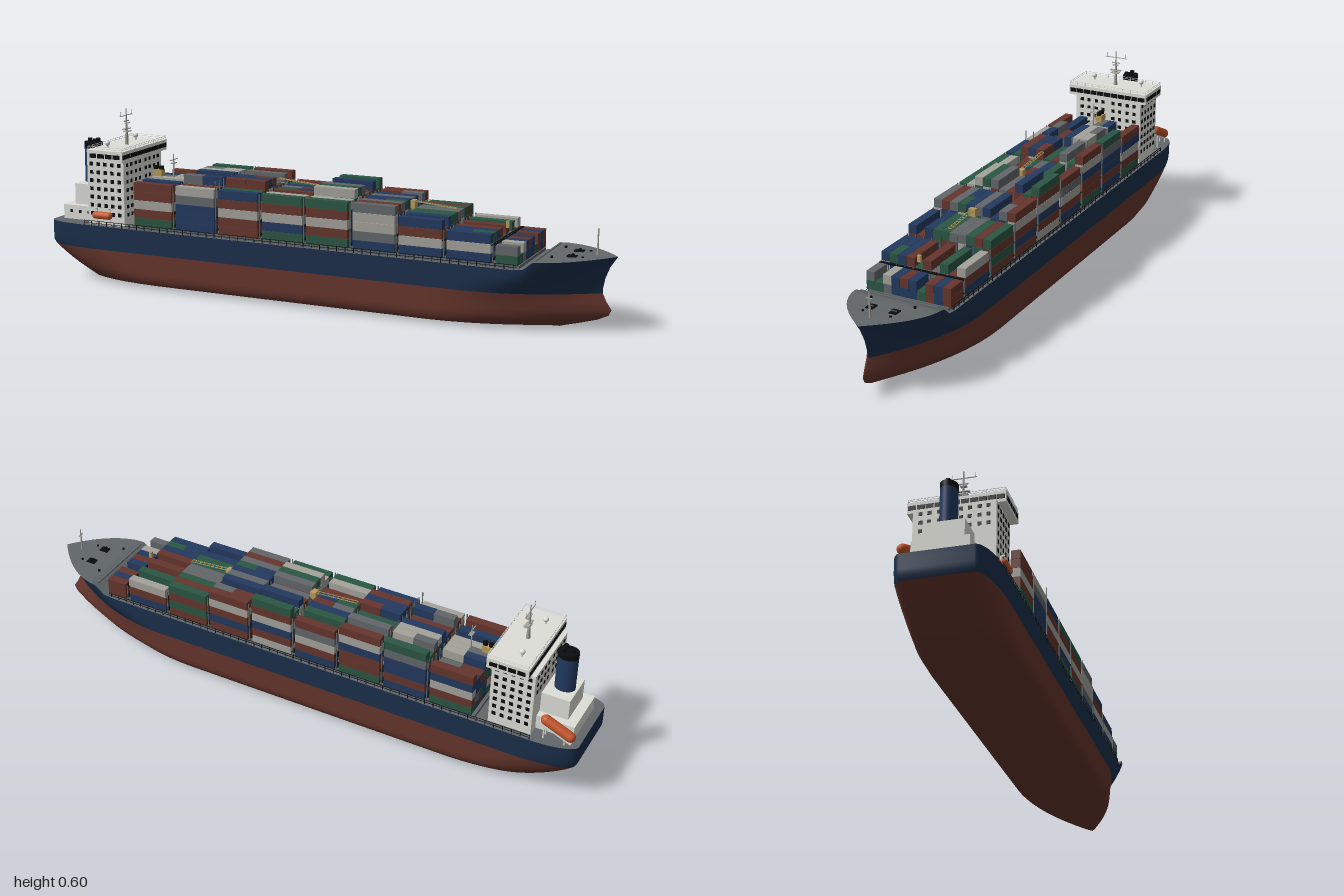
import * as THREE from 'three';
import { mergeGeometries, toCreasedNormals } from 'three/addons/utils/BufferGeometryUtils.js';

const mat = (name, color) => Object.assign(new THREE.MeshStandardMaterial({ color }), { name });

export function createModel() {
  const M = {
    r: mat('oxide red', 0x66362d), n: mat('hull navy', 0x1b2f4b), b: mat('container blue', 0x22395f),
    g: mat('green', 0x2b5643), s: mat('grey', 0x62676a), l: mat('light grey', 0xa3a29b),
    w: mat('white', 0xdedfd8), k: mat('black', 0x0c0d0f), o: mat('orange', 0xc4552a),
    y: mat('tan yellow', 0xb79d5c),
  };
  const model = new THREE.Group();
  model.name = 'containerShip';

  const add = (name, geo, m, x = 0, y = 0, z = 0) => {
    const mesh = new THREE.Mesh(geo, m);
    mesh.name = name;
    mesh.position.set(x, y, z);
    model.add(mesh);
    return mesh;
  };
  // One mesh from many boxes: [cx, cy, cz, w, h, d]
  const boxes = (name, m, list) => add(name, mergeGeometries(
    list.map(([x, y, z, w, h, d]) => new THREE.BoxGeometry(w, h, d).translate(x, y, z))), m);
  const box = (name, m, x0, x1, y0, y1, hz) =>
    boxes(name, m, [[(x0 + x1) / 2, (y0 + y1) / 2, 0, x1 - x0, y1 - y0, hz * 2]]);
  const cyl = (name, m, r0, r1, h, x, y, z = 0, n = 16) =>
    add(name, new THREE.CylinderGeometry(r1, r0, h, n), m, x, y + h / 2, z);

  // ---- Hull: rings running bow, left side, transom, right side
  const N = 64, WL = 0.122;
  const sheer = x => 0.205 + 0.032 * THREE.MathUtils.smoothstep(x, 0.73, 0.78)
    + 0.006 * THREE.MathUtils.smoothstep(x, 0.78, 1);
  const ring = ({ y, xs, xe, w = 0.153, f = 0.72, sl = 0.15, bow }) => {
    const side = [];
    for (let i = 0; i <= N; i++) {
      const x = xs + (xe - xs) * (1 + Math.cos(Math.PI * i / N)) / 2;
      const b = Math.max(0, (x - bow) / (xe - bow)), s = Math.max(0, 1 - (x - xs) / sl);
      side.push([x, y(x), w * (1 - b * b) * (f + (1 - f) * Math.sqrt(1 - s * s))]);
    }
    return [...side, ...side.slice().reverse().map(([x, yy, h]) => [x, yy, -h])];
  };
  const mesh = (pts, idx) => {
    const g = new THREE.BufferGeometry();
    g.setAttribute('position', new THREE.Float32BufferAttribute(pts.flat(), 3));
    g.setIndex(idx);
    g.computeVertexNormals();
    return g;
  };
  const loft = (rings, crease) => {
    const n = rings[0].length, idx = [];
    for (let r = 0; r < rings.length - 1; r++) for (let i = 0; i < n - 1; i++) {
      const a = r * n + i, b = a + 1, d = a + n, c = d + 1;
      idx.push(a, d, c, a, c, b);
    }
    return toCreasedNormals(mesh(rings.flat(), idx), crease);
  };
  const cap = (pts, up) => {
    const n = pts.length, idx = [];
    for (let i = 0; i < N; i++) {
      const p = i, q = n - 1 - i;
      idx.push(...(up ? [p, q, p + 1, q, q - 1, p + 1] : [p, p + 1, q, q, p + 1, q - 1]));
    }
    return mesh(pts, idx);
  };
  // y, stern x, bow x, half width, bow taper start, transom fraction, stern taper length
  const lower = [
    [0, -0.835, 0.82, 0.035, 0.38, 0.4, 0.3], [0.002, -0.84, 0.825, 0.085, 0.38, 0.4, 0.3],
    [0.006, -0.847, 0.84, 0.121, 0.39, 0.4, 0.3], [0.014, -0.858, 0.87, 0.143, 0.4, 0.42, 0.3],
    [0.034, -0.885, 0.94, 0.153, 0.42, 0.46, 0.28], [0.052, -0.912, 0.977, 0.153, 0.44, 0.52, 0.26],
    [0.07, -0.935, 0.985, 0.153, 0.45, 0.58, 0.24], [0.095, -0.965, 0.968, 0.153, 0.48, 0.65, 0.22],
    [WL, -0.993, 0.955, 0.153, 0.52, 0.7, 0.2],
  ].map(([y, xs, xe, w, bow, f, sl]) => ring({ y: () => y, xs, xe, w, bow, f, sl }));
  const upper = [[0, -0.993, 0.955, 0.52, 0.2, 0.7], [0.15, -1, 0.956, 0.56, 0.18, 0.71],
    [0.4, -1, 0.962, 0.63, 0.16, 0.72], [0.7, -1, 0.976, 0.71, 0.15, 0.72], [1, -1, 1, 0.765, 0.15, 0.72]]
    .map(([v, xs, xe, bow, sl, f]) => ring({ y: x => WL + (sheer(x) - WL) * v, xs, xe, bow, sl, f }));
  add('lowerHull', loft(lower, 0.95), M.r);
  add('hullBottom', cap(lower[0], false), M.r);
  add('upperHull', loft(upper, 0.6), M.n);
  add('deck', cap(upper[4], true), M.s);
  box('hatchCoaming', M.s, -0.66, 0.725, 0.2, 0.217, 0.14);

  // ---- Deck edge railings
  const rails = [];
  for (const z of [-0.15, 0.15]) {
    for (const y of [0.213, 0.221]) rails.push([-0.065, y, z, 1.57, 0.0015, 0.0015]);
    for (let i = 0; i <= 52; i++) rails.push([-0.85 + i * 0.03, 0.213, z, 0.002, 0.017, 0.002]);
  }
  boxes('deckRailings', M.k, rails);

  // ---- Containers: bays as [aft end, length, tiers, left outer stack, right outer stack], bottom to top
  let seed = 11;
  const rnd = () => (seed = (seed * 16807) % 2147483647) / 2147483647;
  const CH = 0.0305, CW = 0.0295, BASE = 0.217;
  const bays = [
    [-0.65, 0.147, 5, 'grlrr', 'grlbr'], [-0.487, 0.147, 6, 'bbbsl', 'brbbsg'],
    [-0.325, 0.147, 6, 'rrlrb', 'grrblr'], [-0.162, 0.147, 5, 'gblrg', 'brlsr'],
    [0, 0.147, 6, 'grlrg', 'lrblrg'], [0.165, 0.147, 5, 'bslls', 'rbrlr'],
    [0.325, 0.147, 4, 'blrb', 'rgrg'], [0.487, 0.147, 3, 'blb', 'brl'], [0.65, 0.072, 2, 'gs', 'rr'],
  ];
  const cargo = { r: [], b: [], g: [], s: [], l: [] };
  const palette = 'rrrrbbbbgggssll';
  const pick = () => palette[Math.floor(rnd() * palette.length)];
  const put = (c, x0, len, y, z) =>
    cargo[c].push([x0 + len / 2, y, z, len - 0.001, CH - 0.0008, CW - 0.0008]);
  bays.forEach(([x0, len, tiers, left, right]) => {
    for (let col = 0; col < 10; col++) {
      const z = (col - 4.5) * CW, fixed = { 0: right, 9: left }[col];
      let h = fixed ? fixed.length : tiers - (rnd() < 0.25 ? 1 : 0);
      if (tiers === 6 && (col === 8 || col === 1)) h = 5;
      for (let t = 0; t < h; t++) {
        const y = BASE + CH * (t + 0.5);
        if (!fixed && len > 0.1 && rnd() < 0.2) {
          put(pick(), x0, len / 2, y, z);
          put(pick(), x0 + len / 2, len / 2, y, z);
        } else put(fixed ? fixed[t] : pick(), x0, len, y, z);
      }
    }
  });
  for (const c in cargo) boxes('containers ' + M[c].name, M[c], cargo[c]);

  // ---- Lashing bridges in the gaps between bays
  const posts = [], walks = [];
  bays.slice(1).forEach(([x0], i) => {
    const x = x0 - 0.008, h = Math.min(bays[i][2], bays[i + 1][2]) * CH;
    for (let j = 0; j <= 10; j++) posts.push([x, BASE + h / 2, (j - 5) * CW, 0.003, h, 0.003]);
    for (const y of [0.232, 0.276]) walks.push([x, y, 0, 0.012, 0.003, 0.296]);
  });
  boxes('lashingPosts', M.s, posts);
  boxes('lashingWalkways', M.k, walks);

  // ---- Accommodation block and bridge
  box('accommodation', M.w, -0.845, -0.7, 0.2, 0.435, 0.128);
  box('bridge', M.w, -0.83, -0.69, 0.433, 0.47, 0.152);
  box('aftDeckhouse', M.w, -0.972, -0.845, 0.2, 0.255, 0.088);
  box('engineCasing', M.w, -0.94, -0.845, 0.25, 0.328, 0.062);
  const panes = [];
  for (let row = 0; row < 7; row++) {
    const y = 0.244 + row * 0.029;
    for (const z of [0.02, 0.047, 0.077, 0.104]) for (const s of [-1, 1]) {
      panes.push([-0.7, y, z * s, 0.003, 0.012, 0.012]);
      if (y > 0.335) panes.push([-0.845, y, z * s, 0.003, 0.012, 0.012]);
    }
    for (let i = 0; i < 5; i++) for (const s of [-1, 1])
      panes.push([-0.828 + i * 0.0275, y, s * 0.128, 0.013, 0.013, 0.003]);
  }
  for (let i = 0; i < 11; i++) for (const x of [-0.69, -0.83])
    panes.push([x, 0.451, (i - 5) * 0.0272, 0.003, 0.015, 0.0245]);
  for (let i = 0; i < 4; i++) for (const s of [-1, 1])
    panes.push([-0.806 + i * 0.031, 0.451, s * 0.152, 0.026, 0.015, 0.003]);
  for (let i = 0; i < 3; i++) for (const s of [-1, 1])
    panes.push([-0.94 + i * 0.035, 0.234, s * 0.088, 0.009, 0.01, 0.003]);
  boxes('windows', M.k, panes);

  // Bridge roof railing
  const roof = [];
  for (const y of [0.476, 0.482]) {
    for (const z of [-0.15, 0.15]) roof.push([-0.759, y, z, 0.136, 0.0012, 0.0012]);
    for (const x of [-0.827, -0.691]) roof.push([x, y, 0, 0.0012, 0.0012, 0.3]);
  }
  for (let i = 0; i <= 10; i++) for (const x of [-0.827, -0.691])
    roof.push([x, 0.476, (i - 5) * 0.03, 0.0015, 0.012, 0.0015]);
  boxes('roofRailing', M.w, roof);

  // Radar mast and domes
  cyl('mastBase', M.l, 0.007, 0.004, 0.05, -0.762, 0.468);
  cyl('mast', M.l, 0.004, 0.0018, 0.08, -0.762, 0.517);
  boxes('mastYards', M.l, [
    [-0.762, 0.573, 0, 0.003, 0.002, 0.082], [-0.762, 0.553, 0, 0.004, 0.003, 0.03],
    [-0.758, 0.546, 0, 0.012, 0.002, 0.02], [-0.762, 0.525, 0, 0.012, 0.003, 0.042],
    [-0.758, 0.517, 0, 0.02, 0.002, 0.03], [-0.762, 0.58, 0.036, 0.0015, 0.018, 0.0015],
    [-0.762, 0.58, -0.036, 0.0015, 0.018, 0.0015]]);
  for (const z of [-0.094, 0.094]) {
    cyl('domeStand', M.w, 0.003, 0.003, 0.014, -0.782, 0.468, z, 10);
    add('satelliteDome', new THREE.SphereGeometry(0.009, 20, 14), M.w, -0.782, 0.487, z);
  }

  // ---- Funnel
  const oval = (name, m, r, y0, y1) => { cyl(name, m, r, r, y1 - y0, -0.898, y0, 0, 32).scale.z = 0.78; };
  oval('funnel', M.b, 0.034, 0.325, 0.45);
  oval('funnelCap', M.k, 0.0345, 0.45, 0.47);
  for (const [x, z] of [[-0.912, 0], [-0.885, 0.01], [-0.885, -0.01]])
    cyl('exhaustPipe', M.k, 0.008, 0.008, 0.014, x, 0.468, z, 12);

  // ---- Lifeboats: one slung at the left side, one on a stern slipway
  const boat = (name, x, y, z, len, r, tilt) => {
    const hull = new THREE.CapsuleGeometry(r, len - 2 * r, 8, 16).rotateZ(Math.PI / 2);
    add(name, hull, M.o, x, y, z).rotation.z = tilt;
  };
  boat('sideLifeboat', -0.782, 0.241, 0.14, 0.078, 0.013, 0);
  boxes('lifeboatDavits', M.w, [-0.808, -0.756].flatMap(x =>
    [[x, 0.235, 0.132, 0.004, 0.06, 0.004], [x, 0.264, 0.137, 0.004, 0.004, 0.014]]));
  boat('sternLifeboat', -0.928, 0.253, -0.112, 0.125, 0.017, 0.42);
  const ramp = boxes('lifeboatRamp', M.w, [[0, 0, 0, 0.12, 0.004, 0.022]]);
  ramp.position.set(-0.921, 0.237, -0.112);
  ramp.rotation.z = 0.42;
  boxes('lifeboatRampLegs', M.w, [-0.122, -0.102].flatMap(z =>
    [[-0.955, 0.212, z, 0.004, 0.018, 0.004], [-0.885, 0.228, z, 0.004, 0.048, 0.004]]));

  // ---- Centreline cranes: pedestal, cab and lattice boom
  const crane = (x, top, dx, dy) => {
    cyl('cranePedestal', M.y, 0.007, 0.007, top - 0.205, x, 0.205);
    boxes('craneCab', M.y, [[x, top, 0, 0.02, 0.026, 0.024]]);
    const len = Math.hypot(dx, dy), boom = [];
    for (const z of [-0.006, 0.006]) boom.push([len / 2, 0, z, len, 0.002, 0.0015]);
    for (let i = 1; i <= 9; i++) boom.push([len * i / 9, 0, 0, 0.002, 0.002, 0.012]);
    const arm = boxes('craneBoom', M.y, boom);
    arm.position.set(x, top + 0.01, 0);
    arm.rotation.z = Math.atan2(dy, dx);
  };
  crane(-0.008, 0.375, -0.16, 0.012);
  crane(0.317, 0.352, 0.15, -0.012);
  boxes('forwardLocker', M.y, [[0.642, 0.315, 0.006, 0.01, 0.022, 0.012]]);
  boxes('aftCraneCab', M.y, [[-0.634, 0.381, 0, 0.034, 0.024, 0.024]]);
  for (const x of [-0.645, -0.624]) cyl('aftCraneDrum', M.k, 0.009, 0.009, 0.012, x, 0.392);
  cyl('aftMast', M.l, 0.003, 0.0015, 0.085, -0.575, 0.365, 0, 8);
  boxes('aftMastYards', M.l, [[-0.575, 0.43, 0, 0.003, 0.002, 0.056], [-0.575, 0.418, 0, 0.012, 0.003, 0.024]]);

  // ---- Forecastle: breakwater, winches, bollards and foremast
  boxes('breakwater', M.s, [[0.775, 0.233, 0, 0.006, 0.012, 0.27]]);
  for (const z of [-0.04, 0.04]) {
    boxes('winchBed', M.k, [[0.865, 0.24, z, 0.03, 0.006, 0.024]]);
    add('winchDrum', new THREE.CylinderGeometry(0.005, 0.005, 0.02, 14).rotateX(Math.PI / 2), M.k, 0.865, 0.243, z);
    for (const x of [0.81, 0.9]) cyl('bollard', M.k, 0.004, 0.004, 0.007, x, 0.237, z * 1.9 - z * (x - 0.81) * 8, 10);
  }
  cyl('foremast', M.l, 0.004, 0.0018, 0.09, 0.935, 0.238, 0, 10);
  boxes('foremastYard', M.l, [[0.935, 0.305, 0, 0.003, 0.002, 0.024]]);
  return model;
}
